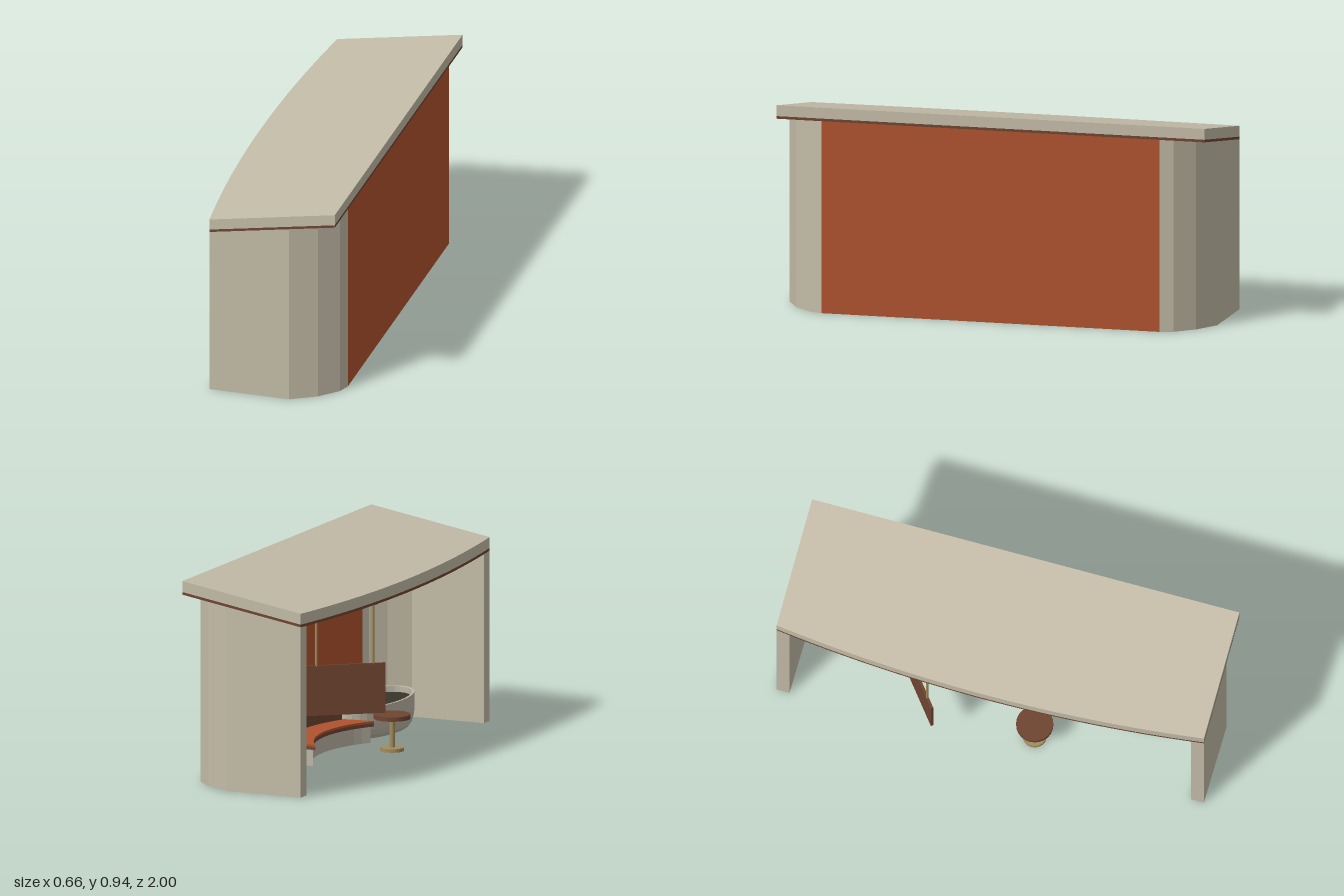
import * as THREE from 'three';

const mat = (name, color) => {
  const m = new THREE.MeshStandardMaterial({ color });
  m.name = name;
  return m;
};

export function createModel() {
  const shelter = new THREE.Group();
  shelter.name = 'shelter';

  const beige = mat('beige plaster', 0xc4bca8);
  const concrete = mat('pale concrete', 0xbcb6a6);
  const rust = mat('rust orange', 0xb0532f);
  const brown = mat('dark brown', 0x6f4531);
  const brass = mat('brass', 0xa38c5c);
  const soil = mat('dark soil', 0x35362a);

  const add = (name, geometry, material, parent = shelter) => {
    const mesh = new THREE.Mesh(geometry, material);
    mesh.name = name;
    parent.add(mesh);
    return mesh;
  };

  // Vertical prism over an [x, z] outline; bottom and top heights may depend on x
  const prism = (points, bottom, top) => {
    const shape = new THREE.Shape(points.map(([x, z]) => new THREE.Vector2(x, -z)));
    const g = new THREE.ExtrudeGeometry(shape, { depth: 1, bevelEnabled: false });
    g.rotateX(-Math.PI / 2);
    const p = g.attributes.position;
    for (let i = 0; i < p.count; i++) {
      const level = p.getY(i) > 0.5 ? top : bottom;
      p.setY(i, typeof level === 'function' ? level(p.getX(i)) : level);
    }
    g.computeVertexNormals();
    return g;
  };

  // Sloped level that passes through height h at the tall edge
  const slope = (h) => (x) => h + (x - 0.33) * 0.1715;

  // Roof slab and trim, with one bowed long edge
  const roof = [[0.33, 1], [0.33, -1]];
  for (let i = 0; i <= 32; i++) {
    const z = -1 + i / 16;
    roof.push([-0.322 + 0.062 * z * z, z]);
  }
  add('roofSlab', prism(roof, slope(0.895), slope(0.945)), beige);
  add('roofTrim', prism(roof, slope(0.883), slope(0.895)), brown);

  // End walls with faceted corners, and the long panel between them
  const wall = [
    [-0.26, 1], [0.115, 1], [0.23, 0.934], [0.309, 0.85], [0.33, 0.79],
    [0.275, 0.79], [0.258, 0.822], [0.195, 0.886], [0.1, 0.94], [-0.26, 0.94],
  ];
  for (const s of [1, -1]) {
    add(s > 0 ? 'frontEndWall' : 'backEndWall',
      prism(wall.map(([x, z]) => [x, z * s]), 0, slope(0.883)), beige);
  }
  add('longPanel',
    prism([[0.275, -0.79], [0.329, -0.79], [0.329, 0.79], [0.275, 0.79]], 0, slope(0.883)), rust);

  // Oval planters: lathe bowls stretched along z
  const bowl = [[0, 0], [0.86, 0], [0.94, 0.018], [0.985, 0.045], [1, 0.075], [1, 0.148],
    [0.93, 0.148], [0.93, 0.118]].map(([r, y]) => new THREE.Vector2(r, y));
  for (const s of [1, -1]) {
    const planter = new THREE.Group();
    planter.name = s > 0 ? 'frontPlanter' : 'backPlanter';
    planter.position.set(0.128, 0, 0.6 * s);
    shelter.add(planter);
    const g = new THREE.LatheGeometry(bowl, 32).scale(0.146, 1, 0.297).toNonIndexed();
    g.computeVertexNormals();
    add('planterBowl', g, concrete, planter);
    const fill = add('planterSoil', new THREE.CircleGeometry(0.94, 32).rotateX(-Math.PI / 2), soil, planter);
    fill.scale.set(0.146, 1, 0.297);
    fill.position.y = 0.122;
  }

  // Curved bench: ring sectors around a centre on the open side
  const sector = (r0, r1, half0, half1, n = 14) => {
    const points = [];
    for (const [r, half, dir] of [[r0, half0, 1], [r1, half1, -1]]) {
      const a = Math.asin(half / r);
      for (let i = 0; i <= n; i++) {
        const t = dir * a * (-1 + (2 * i) / n);
        points.push([-0.445 + r * Math.cos(t), r * Math.sin(t)]);
      }
    }
    return points;
  };
  add('benchBase', prism(sector(0.545, 0.67, 0.305, 0.285), 0, 0.075), concrete);
  add('benchSeatEdge', prism(sector(0.535, 0.675, 0.31, 0.29), 0.075, 0.09), brown);
  add('benchSeat', prism(sector(0.535, 0.675, 0.31, 0.29), 0.09, 0.1), rust);
  add('benchBackrest', prism(sector(0.645, 0.68, 0.28, 0.29), 0.1, 0.26), brown);

  // Round stool on a post
  const stool = new THREE.Group();
  stool.name = 'stool';
  stool.position.set(-0.16, 0, 0.18);
  shelter.add(stool);
  const disc = (name, r, y0, y1, material) =>
    add(name, new THREE.CylinderGeometry(r, r, y1 - y0, 24), material, stool).position.y = (y0 + y1) / 2;
  disc('stoolBase', 0.054, 0, 0.016, brass);
  disc('stoolPost', 0.012, 0.016, 0.15, brass);
  disc('stoolSeat', 0.084, 0.148, 0.168, brown);

  // Hanging board, set diagonally and hung on two rods from a rail
  const ux = 0.786, uz = -0.618;
  const along = (s, off = 0) => [-0.1815 + ux * s - uz * off, -0.369 + uz * s + ux * off];
  const strip = (half, w) => [along(-half, -w), along(half, -w), along(half, w), along(-half, w)];
  add('hangingBoard', prism(strip(0.188, 0.006), 0.265, 0.495), brown);
  add('hangingRail', prism(strip(0.15, 0.01), slope(0.871), slope(0.884)), brass);
  for (const s of [-0.131, 0.131]) {
    const [x, z] = along(s);
    const top = slope(0.875)(x);
    const rod = add('hangingRod', new THREE.CylinderGeometry(0.0065, 0.0065, top - 0.49, 12), brass);
    rod.position.set(x, (top + 0.49) / 2, z);
  }

  return shelter;
}
